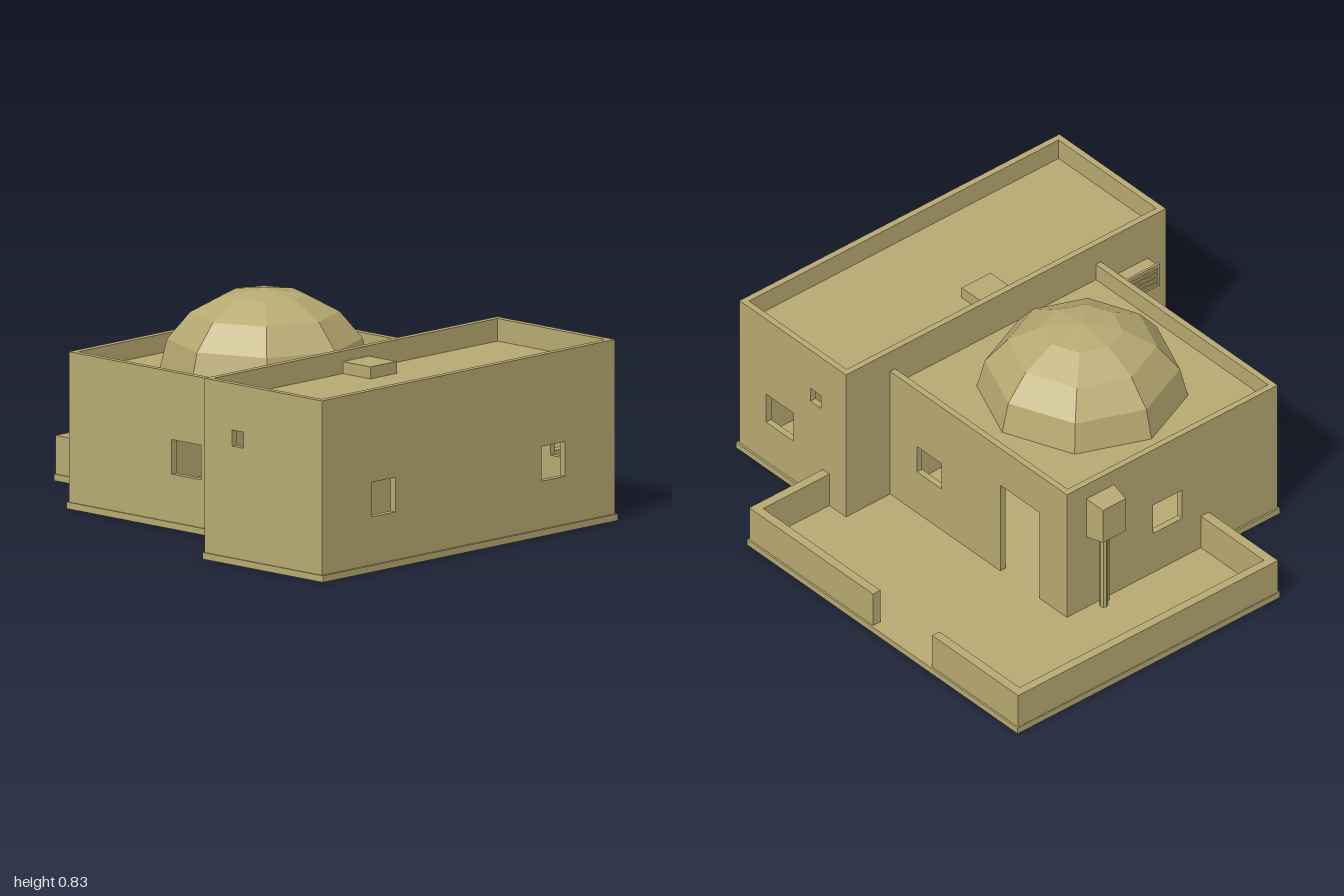
import * as THREE from 'three';

const material = new THREE.MeshStandardMaterial({ color: 0xb8aa72, flatShading: true });
const FLOOR = 0.025, T = 0.025;

function add(parent, name, geometry, x = 0, y = 0, z = 0) {
  const mesh = new THREE.Mesh(geometry, material);
  mesh.name = name;
  mesh.position.set(x, y, z);
  parent.add(mesh);
  return mesh;
}

// Box given by its two opposite corners
function box(parent, name, [x0, y0, z0], [x1, y1, z1]) {
  return add(parent, name, new THREE.BoxGeometry(x1 - x0, y1 - y0, z1 - z0),
    (x0 + x1) / 2, (y0 + y1) / 2, (z0 + z1) / 2);
}

function rect(ShapeType, a, b, y0, y1) {
  return new ShapeType([[a, y0], [b, y0], [b, y1], [a, y1]].map(p => new THREE.Vector2(...p)));
}

// Wall panel with openings [from, to, bottom, top]; a doorway starts at the floor
function panel(a, b, top, openings) {
  const shape = rect(THREE.Shape, a, b, FLOOR, top);
  for (const o of openings) shape.holes.push(rect(THREE.Path, ...o));
  return new THREE.ExtrudeGeometry(shape, { depth: T, bevelEnabled: false });
}

// Wall running along x, occupying z..z+T
const wallX = (g, name, a, b, top, z, openings = []) => add(g, name, panel(a, b, top, openings), 0, 0, z);

// Wall running along z, occupying x-T..x
function wallZ(g, name, a, b, top, x, openings = []) {
  add(g, name, panel(a, b, top, openings), x).rotation.y = -Math.PI / 2;
}

export function createModel() {
  const model = new THREE.Group();
  model.name = 'desertHouse';
  const group = name => {
    const g = new THREE.Group();
    g.name = name;
    model.add(g);
    return g;
  };

  // Foundation: one slab following the joined outline
  const outline = [[-0.965, 1], [0.603, 1], [0.603, 0.525], [0.96, 0.525], [0.96, -1], [-0.315, -1],
    [-0.315, -0.612], [-0.65, -0.612], [-0.65, 0.385], [-0.965, 0.385]];
  const slab = new THREE.Shape(outline.map(([x, z]) => new THREE.Vector2(x, -z)));
  add(model, 'foundation', new THREE.ExtrudeGeometry(slab, { depth: FLOOR, bevelEnabled: false }))
    .rotation.x = -Math.PI / 2;

  // Front wing: hollow room with windows and a parapet roof
  const front = group('frontWing');
  const windowY = [0.205, 0.335], smallWindow = [0.53, 0.59, 0.445, 0.505];
  wallX(front, 'frontWall', -0.96, 0.595, 0.68, 0.99 - T, [[-0.695, -0.57, ...windowY], [0.205, 0.33, ...windowY]]);
  wallX(front, 'backWall', -0.96, 0.595, 0.68, 0.39);
  wallZ(front, 'rightWall', 0.39 + T, 0.99 - T, 0.68, -0.96 + T, [smallWindow]);
  wallZ(front, 'leftWall', 0.39 + T, 0.99 - T, 0.68, 0.595, [smallWindow, [0.685, 0.84, ...windowY]]);
  box(front, 'roof', [-0.95, 0.565, 0.4], [0.585, 0.595, 0.98]);
  box(front, 'roofHatch', [-0.25, 0.59, 0.41], [-0.11, 0.64, 0.555]);

  // Main hall: hollow room with doorway, windows and a dome
  const hall = group('mainHall');
  wallX(hall, 'backWall', -0.645, 0.38, 0.59, -0.605, [[-0.18, -0.04, ...windowY]]);
  wallZ(hall, 'rightWall', -0.605 + T, 0.39, 0.59, -0.645 + T, [[-0.08, 0.07, ...windowY], [0.145, 0.21, 0.39, 0.45]]);
  // Door side is built in three pieces so that the doorway reaches the floor
  wallZ(hall, 'leftWallRear', -0.605 + T, -0.45, 0.59, 0.38);
  wallZ(hall, 'leftWallFront', -0.23, 0.39, 0.59, 0.38, [[0.1, 0.24, 0.213, 0.33]]);
  box(hall, 'doorLintel', [0.38 - T, 0.42, -0.45], [0.38, 0.59, -0.23]);
  box(hall, 'roof', [-0.635, 0.49, -0.595], [0.37, 0.52, 0.39]);

  // Eight-sided dome
  const profile = [];
  for (let i = 0; i <= 4; i++) {
    const a = i * Math.PI / 8;
    profile.push(new THREE.Vector2(i === 4 ? 0 : 0.39 * Math.cos(a), 0.31 * Math.sin(a)));
  }
  add(hall, 'dome', new THREE.LatheGeometry(profile, 8).toNonIndexed(), -0.14, 0.52, -0.09);

  // Courtyard: low walls with a gate gap
  const yard = group('courtyard');
  const yardWall = (name, x0, z0, x1, z1) => box(yard, name, [x0, FLOOR, z0], [x1, 0.17, z1]);
  yardWall('backYardWall', -0.31, -0.995, 0.953, -0.96);
  yardWall('rightYardWall', -0.31, -0.96, -0.272, -0.605);
  yardWall('gateWallRear', 0.917, -0.96, 0.953, -0.51);
  yardWall('gateWallFront', 0.917, -0.177, 0.953, 0.483);
  yardWall('frontYardWall', 0.595, 0.483, 0.953, 0.52);

  // Tapered box on the back wall with pipes to the ground
  const utility = group('utilityBox');
  const tank = new THREE.BoxGeometry(0.135, 0.175, 0.08);
  const pos = tank.attributes.position;
  for (let i = 0; i < pos.count; i++) {
    if (pos.getZ(i) < 0) pos.setXYZ(i, pos.getX(i) * 0.82, pos.getY(i) * 0.85, pos.getZ(i));
  }
  tank.computeVertexNormals();
  add(utility, 'tank', tank, 0.218, 0.437, -0.645);
  for (const [x, z, r] of [[0.2, -0.617, 0.012], [0.228, -0.637, 0.015]]) {
    add(utility, 'pipe', new THREE.CylinderGeometry(r, r, 0.34, 8), x, 0.195, z);
  }

  // Wall vent unit with a slatted face
  const vent = group('ventUnit');
  box(vent, 'ventBody', [-0.872, 0.405, 0.338], [-0.728, 0.495, 0.392]);
  box(vent, 'ventFrame', [-0.88, 0.4, 0.33], [-0.72, 0.5, 0.34]);
  for (let i = 0; i < 4; i++) {
    box(vent, 'ventSlat', [-0.865, 0.413 + i * 0.021, 0.325], [-0.735, 0.424 + i * 0.021, 0.331]);
  }
  return model;
}
